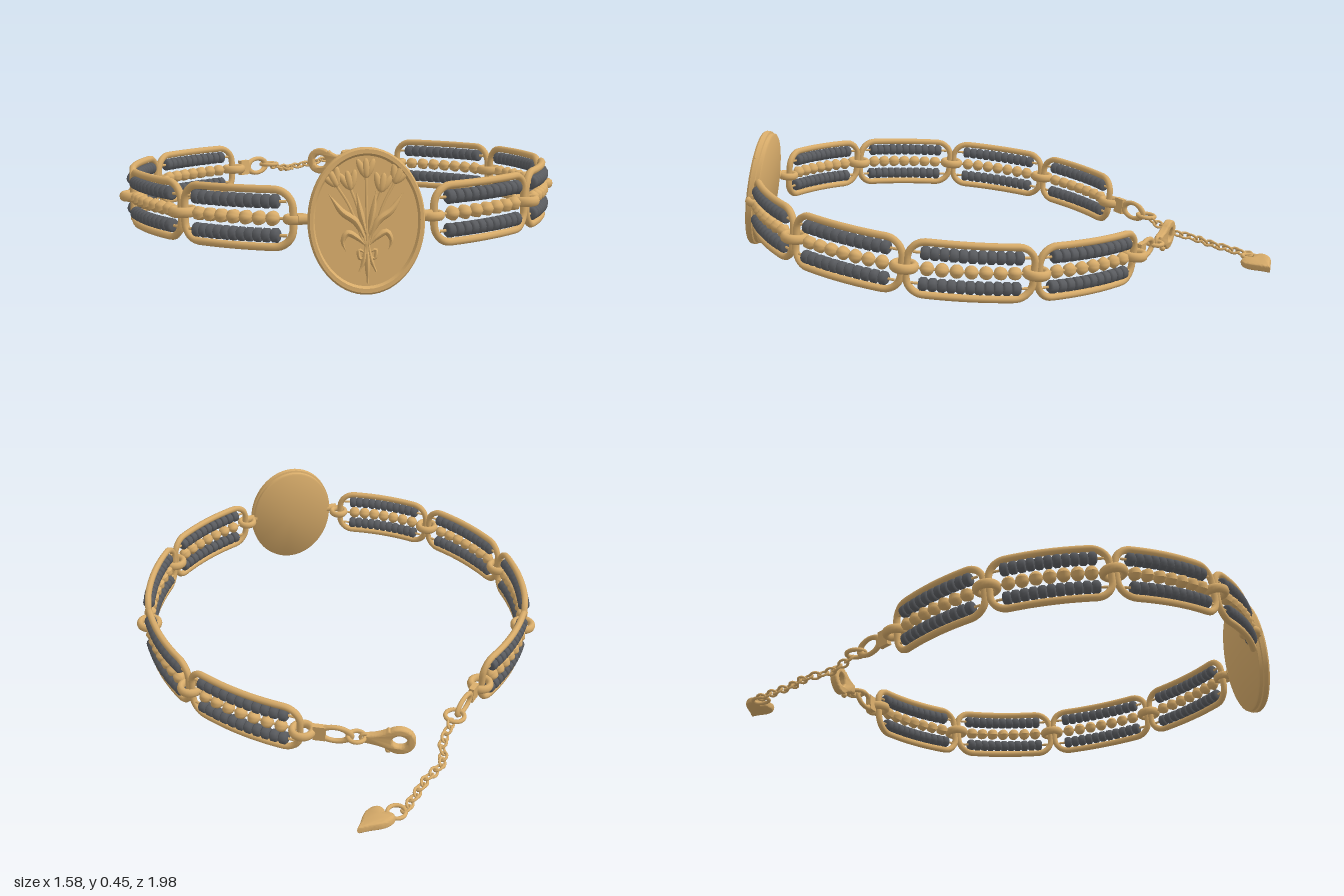
import * as THREE from 'three';
import { toCreasedNormals } from 'three/addons/utils/BufferGeometryUtils.js';

const gold = new THREE.MeshStandardMaterial({ color: 0xd8ac6a });
const dark = new THREE.MeshStandardMaterial({ color: 0x5a5c60 });
const V = (x, y, z) => new THREE.Vector3(x, y, z);
const UP = V(0, 1, 0);

function add(parent, name, geo, mat = gold) {
  const m = new THREE.Mesh(geo, mat);
  m.name = name;
  parent.add(m);
  return m;
}

// Place an object with its x axis along dir and its z axis as near to zHint as possible
function orient(obj, pos, dir, zHint) {
  const x = dir.clone().normalize();
  const y = zHint.clone().cross(x).normalize();
  const z = x.clone().cross(y);
  obj.quaternion.setFromRotationMatrix(new THREE.Matrix4().makeBasis(x, y, z));
  obj.position.copy(pos);
  return obj;
}

// Tube that swells in the middle and narrows at both ends
function taperTube(pts, r, minR = 0.1) {
  const curve = new THREE.CatmullRomCurve3(pts), n = 20, s = 8;
  const geo = new THREE.TubeGeometry(curve, n, r, s);
  const pos = geo.attributes.position, p = new THREE.Vector3();
  for (let i = 0; i < pos.count; i++) {
    const t = Math.floor(i / (s + 1)) / n, c = curve.getPointAt(t);
    p.fromBufferAttribute(pos, i).sub(c).multiplyScalar(Math.max(minR, Math.sin(Math.PI * t))).add(c);
    pos.setXYZ(i, p.x, p.y, p.z);
  }
  geo.computeVertexNormals();
  return geo;
}

// Ribbed gold bead and rounded dark bead
const ribbed = new THREE.SphereGeometry(0.023, 18, 10);
for (let i = 0, p = ribbed.attributes.position; i < p.count; i++) {
  const k = 1 + 0.07 * Math.cos(6 * Math.atan2(p.getZ(i), p.getX(i)));
  p.setXYZ(i, p.getX(i) * k, p.getY(i), p.getZ(i) * k);
}
ribbed.computeVertexNormals();
const barrel = new THREE.LatheGeometry(
  [[0, -0.5], [0.7, -0.5], [1, -0.28], [1, 0.28], [0.7, 0.5], [0, 0.5]].map(([r, y]) => new THREE.Vector2(r, y)), 12);

function roundedRect(w, h, r) {
  const s = new THREE.Shape();
  s.absarc(w - r, h - r, r, 0, Math.PI / 2);
  s.absarc(r - w, h - r, r, Math.PI / 2, Math.PI);
  s.absarc(r - w, r - h, r, Math.PI, 1.5 * Math.PI);
  s.absarc(w - r, r - h, r, 1.5 * Math.PI, 2 * Math.PI);
  s.closePath();
  return s;
}

// Bowed link between two joints: wire frame, two dark rows, one gold row
function makeLink(a, b) {
  const g = new THREE.Group();
  g.name = 'beadedLink';
  const d = b.clone().sub(a), len = d.length();
  const n = V(d.z, 0, -d.x).normalize();
  if (n.dot(a.clone().add(b).multiplyScalar(0.5).sub(V(0, 0, 0.22))) < 0) n.negate();
  const at = (u, v) => {
    const t = u / len + 0.5;
    return a.clone().addScaledVector(d, t).addScaledVector(n, 0.11 * t * (1 - t)).setY(v);
  };
  const half = len / 2 - 0.008;
  const outline = roundedRect(half, 0.09, 0.06).getSpacedPoints(72).slice(0, -1).map(p => at(p.x, p.y));
  add(g, 'frame', new THREE.TubeGeometry(new THREE.CatmullRomCurve3(outline, true), 96, 0.0125, 8, true));

  const row = (name, v, count, span, geo, mat, scale) => {
    const pts = [-1, -0.5, 0, 0.5, 1].map(t => at(t * (half - (v ? 0.018 : 0)), v));
    add(g, 'wire', new THREE.TubeGeometry(new THREE.CatmullRomCurve3(pts), 12, 0.005, 6));
    for (let i = 0; i < count; i++) {
      const u = (i + 0.5 - count / 2) * span / count;
      const m = add(g, name, geo, mat);
      m.position.copy(at(u, v));
      m.quaternion.setFromUnitVectors(UP, at(u + 0.01, v).sub(at(u - 0.01, v)).normalize());
      m.scale.copy(scale);
    }
  };
  const span = len - 0.1;
  for (const s of [-1, 1]) row('darkBead', s * 0.053, 11, span, barrel, dark, V(0.023, span / 11, 0.023));
  row('goldBead', 0, 7, span, ribbed, gold, V(1, 1, 1));
  return g;
}

// Oval medallion with raised rim and a tulip bouquet in relief
function makeMedallion() {
  const g = new THREE.Group();
  g.name = 'medallion';
  const prof = [[0, -0.022], [0.212, -0.022], [0.218, -0.018], [0.218, -0.006], [0.225, -0.003], [0.225, 0.014],
    [0.219, 0.021], [0.206, 0.021], [0.199, 0.01], [0, 0.01]].map(([r, y]) => new THREE.Vector2(r, y));
  const plate = add(g, 'plate', toCreasedNormals(new THREE.LatheGeometry(prof, 64), 0.6));
  plate.rotation.x = Math.PI / 2;
  plate.scale.x = 0.8;
  const z = 0.011, P = (x, y) => V(x, y, z);
  const petal = new THREE.SphereGeometry(1, 12, 8);

  // flowers: x, y of the flower base, lean
  for (const [x, y, lean] of [[0, 0.135, 0], [-0.09, 0.11, 0.45], [0.088, 0.115, -0.45], [-0.048, 0.1, 0.2], [0.045, 0.09, -0.2]]) {
    const f = new THREE.Group();
    f.name = 'tulip';
    f.position.set(x, y, z);
    f.rotation.z = lean;
    for (const s of [-1, 0, 1]) {
      const m = add(f, 'petal', petal);
      m.position.set(s * 0.014, 0.026, s ? 0 : 0.003);
      m.rotation.z = -s * 0.4;
      m.scale.set(0.011, 0.031, 0.008);
    }
    g.add(f);
    add(g, 'stem', new THREE.TubeGeometry(new THREE.CatmullRomCurve3([P(x, y), P(x * 0.6, y * 0.45), P(x * 0.1, -0.07)]), 16, 0.0045, 6));
  }
  for (const s of [-1, 1]) {
    add(g, 'leaf', taperTube([P(0, -0.07), P(s * 0.035, 0), P(s * 0.075, 0.03), P(s * 0.115, 0.085)], 0.012));
    add(g, 'leaf', taperTube([P(0, -0.05), P(s * 0.02, 0.03), P(s * 0.03, 0.09)], 0.01));
    add(g, 'curledLeaf', taperTube([P(0, -0.08), P(s * 0.03, -0.05), P(s * 0.06, -0.035), P(s * 0.075, -0.06), P(s * 0.066, -0.09)], 0.01));
    add(g, 'stalk', taperTube([P(s * 0.004, -0.07), P(s * 0.012, -0.12), P(s * 0.026, -0.155)], 0.007, 0.5));
    add(g, 'ribbon', taperTube([P(0, -0.1), P(s * 0.026, -0.088), P(s * 0.022, -0.115), P(0, -0.1)], 0.006, 0.5));
    const lug = add(g, 'lug', new THREE.CylinderGeometry(0.016, 0.016, 0.045, 10));
    lug.rotation.z = Math.PI / 2;
    lug.position.set(s * 0.185, 0.01, -0.01);
  }
  add(g, 'stalk', taperTube([P(0, -0.07), P(0, -0.13), P(0, -0.19)], 0.009, 0.4));
  return g;
}

const flatRing = (g, name, p, R, r) => {
  const m = add(g, name, new THREE.TorusGeometry(R, r, 10, 24));
  m.rotation.x = Math.PI / 2;
  m.position.copy(p);
  return m;
};

// End piece: small plate with an upright loop
function makeBail(a, b) {
  const g = orient(new THREE.Group(), a, b.clone().sub(a), V(0, 0, 1));
  g.name = 'endBail';
  add(g, 'bailPlate', new THREE.BoxGeometry(0.045, 0.06, 0.02)).position.x = 0.06;
  const loop = add(g, 'bailLoop', new THREE.TorusGeometry(0.03, 0.009, 8, 28));
  loop.scale.set(1.75, 1, 1);
  loop.position.x = a.distanceTo(b) - 0.075;
  return g;
}

// Lobster clasp: teardrop body with a round eye and a thumb lever
function makeClasp(p, dir) {
  const g = orient(new THREE.Group(), p, dir, V(0, 0, 1));
  g.name = 'clasp';
  const s = new THREE.Shape();
  s.moveTo(0.04, -0.012);
  s.quadraticCurveTo(0.09, -0.02, 0.11, -0.04);
  s.absarc(0.15, 0, 0.05, -2.3, 2.3);
  s.quadraticCurveTo(0.09, 0.02, 0.04, 0.012);
  s.closePath();
  s.holes.push(new THREE.Path().absellipse(0.15, 0, 0.033, 0.031, 0, Math.PI * 2, true));
  const body = new THREE.ExtrudeGeometry(s, { depth: 0.014, bevelSize: 0.006, bevelThickness: 0.007, bevelSegments: 3, curveSegments: 24 });
  body.translate(0, 0, -0.007);
  add(g, 'claspBody', toCreasedNormals(body, 0.7));
  const lever = add(g, 'thumbLever', new THREE.SphereGeometry(0.011, 10, 8));
  lever.position.set(0.112, 0.048, 0);
  const eye = add(g, 'claspEye', new THREE.TorusGeometry(0.016, 0.007, 8, 18));
  eye.position.x = 0.03;
  return g;
}

// Puffed heart charm, tip along +x
function makeHeart() {
  const s = new THREE.Shape();
  s.moveTo(0.016, 0);
  s.bezierCurveTo(-0.012, 0.01, -0.012, 0.046, 0.02, 0.046);
  s.bezierCurveTo(0.055, 0.046, 0.07, 0.016, 0.108, 0);
  s.bezierCurveTo(0.07, -0.016, 0.055, -0.046, 0.02, -0.046);
  s.bezierCurveTo(-0.012, -0.046, -0.012, -0.01, 0.016, 0);
  const geo = new THREE.ExtrudeGeometry(s, { depth: 0.004, bevelSize: 0.012, bevelThickness: 0.012, bevelOffset: -0.004, bevelSegments: 5, curveSegments: 14 });
  return toCreasedNormals(geo.translate(0, 0, -0.002), 0.9);
}

export function createModel() {
  const model = new THREE.Group();
  model.name = 'bracelet';
  // the whole band leans gently down towards the back
  const band = new THREE.Group();
  band.name = 'band';
  band.rotation.x = -0.095;
  model.add(band);

  const medallion = makeMedallion();
  medallion.position.set(-0.03, -0.005, 0.947);
  medallion.rotation.x = -0.05;
  band.add(medallion);

  const sides = [
    [[-0.24, 0.9], [-0.58, 0.67], [-0.75, 0.28], [-0.67, -0.13], [-0.36, -0.42]],
    [[0.18, 0.92], [0.55, 0.69], [0.73, 0.29], [0.66, -0.14], [0.34, -0.48]]
  ].map(list => list.map(([x, z]) => V(x, 0, z)));
  for (const joints of sides) {
    joints.forEach((p, i) => {
      flatRing(band, 'jointRing', p, i ? 0.036 : 0.03, i ? 0.013 : 0.011).scale.z = 1.3;
      if (i) band.add(makeLink(joints[i - 1], p));
    });
  }

  // closure
  const leftEnd = V(-0.2, 0, -0.56), rightEnd = V(0.17, 0, -0.565);
  band.add(makeBail(sides[0][4], leftEnd), makeBail(sides[1][4], rightEnd));
  flatRing(band, 'endRing', leftEnd, 0.034, 0.008);
  flatRing(band, 'endRing', rightEnd, 0.03, 0.008);
  band.add(makeClasp(rightEnd, V(-0.92, 0, -0.4)));

  // extension chain
  const path = new THREE.CatmullRomCurve3([V(-0.175, -0.01, -0.585), V(-0.12, -0.03, -0.65), V(-0.08, -0.035, -0.74),
    V(0, -0.03, -0.8), V(0.06, -0.025, -0.86), V(0.12, -0.02, -0.92)]);
  const count = 16, linkGeo = new THREE.TorusGeometry(0.015, 0.0048, 8, 16).scale(1.25, 1, 1);
  for (let i = 0; i < count; i++) {
    const t = i / (count - 1), roll = i % 2 ? 0.5 : -0.9;
    const dir = path.getTangentAt(t), side = dir.clone().cross(UP);
    orient(add(band, 'chainLink', linkGeo), path.getPointAt(t),
      dir, UP.clone().multiplyScalar(Math.cos(roll)).addScaledVector(side, Math.sin(roll)));
  }
  flatRing(band, 'charmRing', V(0.155, -0.018, -0.925), 0.03, 0.007);
  orient(add(band, 'heartCharm', makeHeart()), V(0.195, -0.015, -0.925), V(0.9, 0, -0.38), V(-0.1, 1, 0.3));

  // rest on the ground
  model.updateMatrixWorld(true);
  band.position.y = 0.005 - new THREE.Box3().setFromObject(model, true).min.y;
  return model;
}
